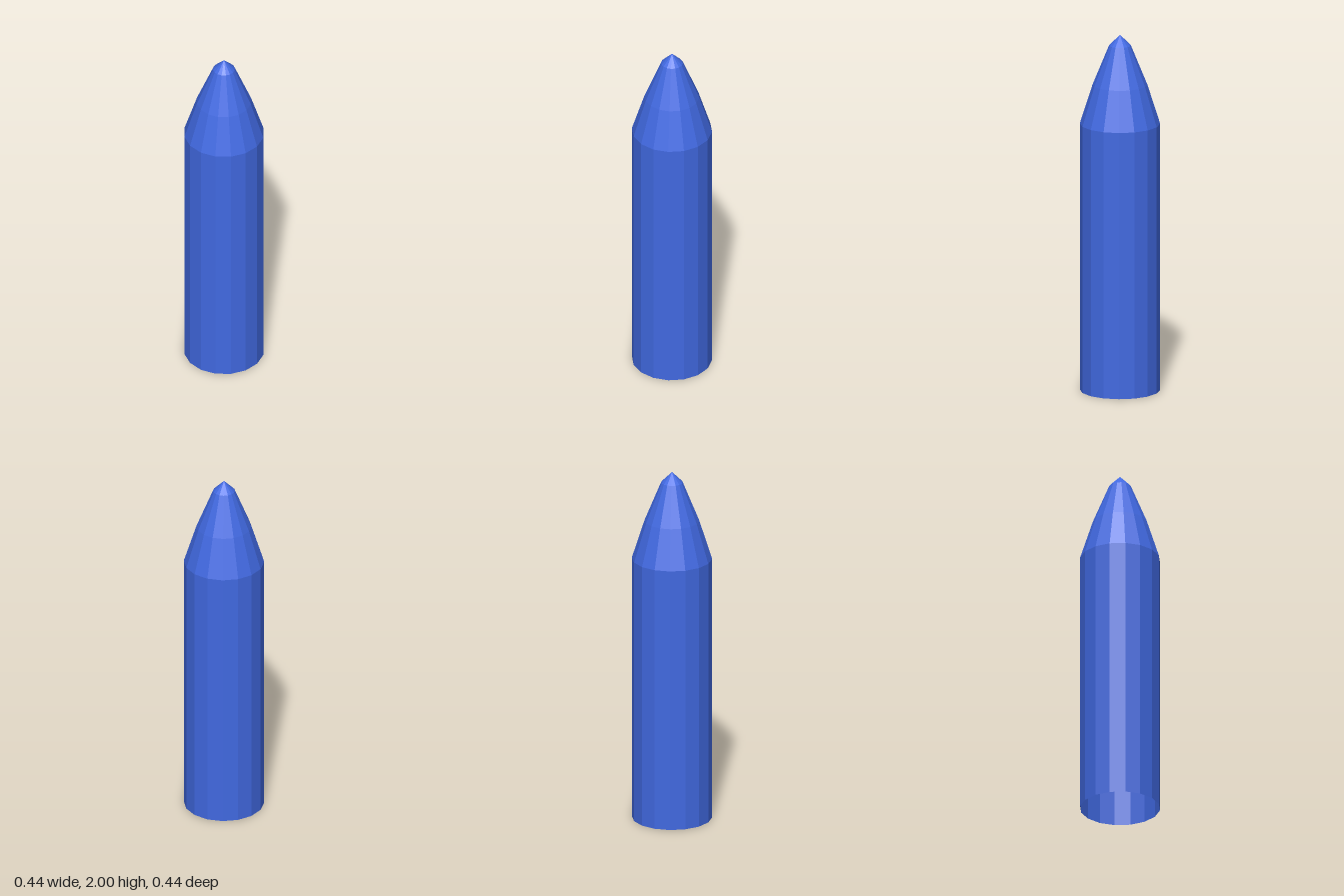
import * as THREE from 'three';

const SIDES = 16;

export function createModel() {
  const model = new THREE.Group();
  model.name = 'crayonShape';
  const material = new THREE.MeshStandardMaterial({
    color: 0x4169e1,
    flatShading: true,
    side: THREE.DoubleSide,
  });

  // Faceted surface of revolution from [radius, height] pairs, bottom to top
  const addLathe = (name, profile) => {
    const points = profile.map(([r, y]) => new THREE.Vector2(r, y));
    const mesh = new THREE.Mesh(new THREE.LatheGeometry(points, SIDES), material);
    mesh.name = name;
    model.add(mesh);
  };

  // Straight tube, open at the bottom
  addLathe('body', [[0.22, 0], [0.22, 1.5]]);

  // Tapered nose ending in a blunt cone
  addLathe('tip', [[0.22, 1.5], [0.15, 1.72], [0.06, 1.94], [0, 2]]);

  return model;
}
